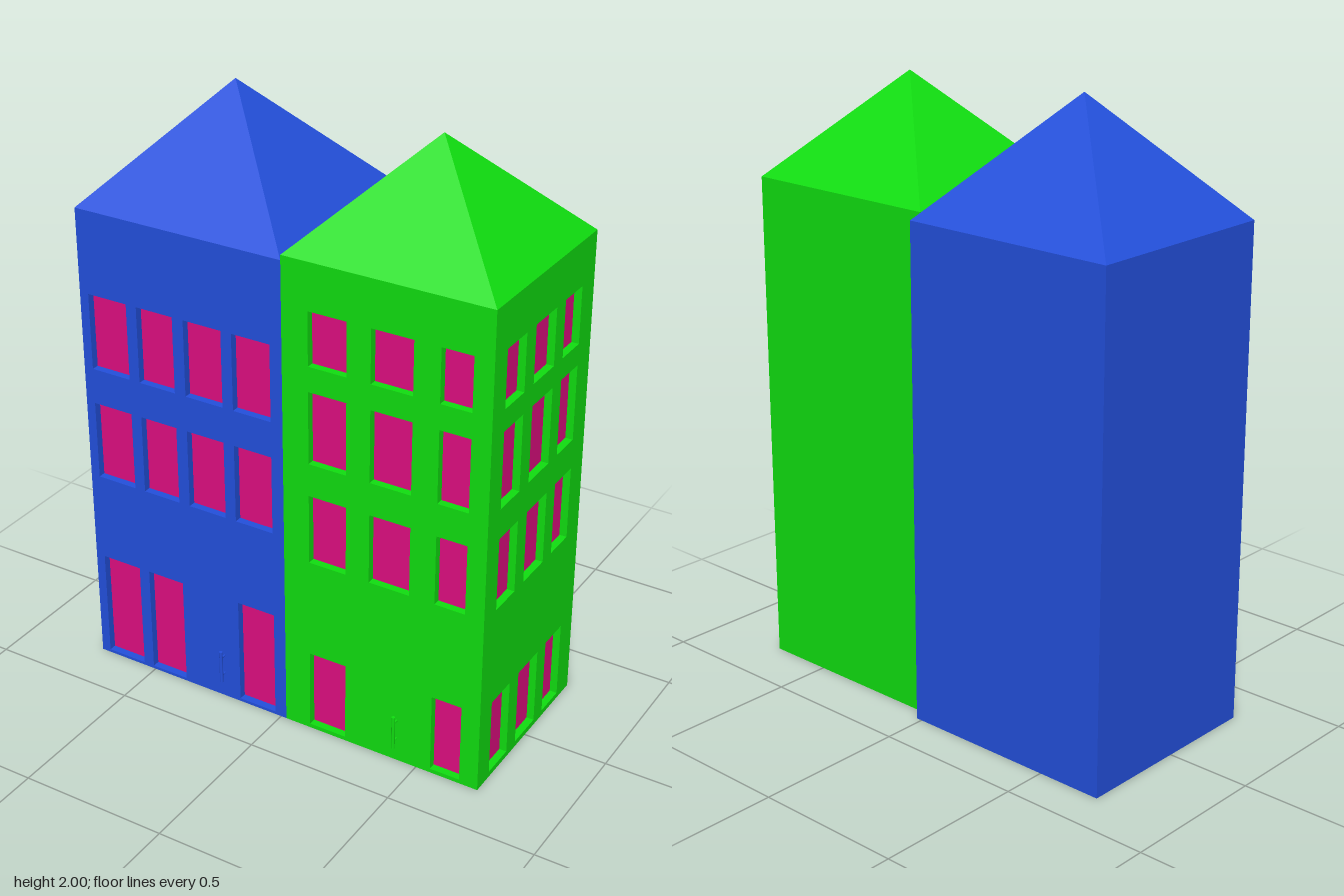
import * as THREE from 'three';
import { mergeGeometries } from 'three/addons/utils/BufferGeometryUtils.js';

const material = (name, color) => {
  const m = new THREE.MeshStandardMaterial({ color, side: THREE.DoubleSide });
  m.name = name;
  return m;
};

const RECESS = 0.025;

function addMesh(parent, name, geometry, mat) {
  const mesh = new THREE.Mesh(geometry, mat);
  mesh.name = name;
  parent.add(mesh);
  return mesh;
}

// Every combination of columns [u0, u1] with rows [y0, y1]
const grid = (columns, rows) => rows.flatMap(([y0, y1]) => columns.map(([u0, u1]) => [u0, u1, y0, y1]));

// Sheet wall facing local +z, with window openings, reveals and recessed panes
function makeWall(name, u0, u1, height, windows, wallMat, paneMat) {
  const wall = new THREE.Group();
  wall.name = name;
  const rect = (target, a, b, c, d) =>
    target.moveTo(a, c).lineTo(b, c).lineTo(b, d).lineTo(a, d).closePath();
  const shape = rect(new THREE.Shape(), u0, u1, 0, height);
  const reveals = [], panes = [];
  for (const [a, b, c, d] of windows) {
    shape.holes.push(rect(new THREE.Path(), a, b, c, d));
    const x = (a + b) / 2, y = (c + d) / 2;
    // Only the four sides of the box line the opening
    const box = new THREE.BoxGeometry(b - a, d - c, RECESS);
    box.setIndex(Array.from(box.index.array).slice(0, 24));
    box.clearGroups();
    reveals.push(box.translate(x, y, -RECESS / 2));
    panes.push(new THREE.PlaneGeometry(b - a, d - c).translate(x, y, -RECESS));
  }
  addMesh(wall, 'wallSheet', new THREE.ShapeGeometry(shape), wallMat);
  if (windows.length) {
    addMesh(wall, 'windowReveals', mergeGeometries(reveals), wallMat);
    addMesh(wall, 'windowPanes', mergeGeometries(panes), paneMat);
  }
  return wall;
}

// Four-sided pyramid roof over the walls
function makeRoof({ x0, x1, z0, z1, height, apex }, mat) {
  const corners = [[x0, height, z1], [x1, height, z1], [x1, height, z0], [x0, height, z0]];
  const points = corners.flatMap((c, i) => [...c, ...corners[(i + 1) % 4], ...apex]);
  const geometry = new THREE.BufferGeometry();
  geometry.setAttribute('position', new THREE.Float32BufferAttribute(points, 3));
  geometry.computeVertexNormals();
  const roof = new THREE.Mesh(geometry, mat);
  roof.name = 'roof';
  return roof;
}

// Vertical pull bar held by two short posts
function makeHandle(x, y, z, mat) {
  const handle = new THREE.Group();
  handle.name = 'doorHandle';
  addMesh(handle, 'bar', new THREE.CylinderGeometry(0.006, 0.006, 0.118, 10), mat).position.z = 0.02;
  for (const side of [-1, 1]) {
    const post = new THREE.CylinderGeometry(0.004, 0.004, 0.02, 8).rotateX(Math.PI / 2);
    addMesh(handle, 'post', post, mat).position.set(0, side * 0.034, 0.01);
  }
  handle.position.set(x, y, z);
  return handle;
}

function makeHouse(name, spec, mat, paneMat) {
  const { x0, x1, z0, z1, height, front, right, sides } = spec;
  const house = new THREE.Group();
  house.name = name;
  const walls = {
    frontWall: [x0, x1, front, 0, 'z', z1],
    backWall: [-x1, -x0, [], Math.PI, 'z', z0],
    rightWall: [-z1, -z0, right, Math.PI / 2, 'x', x1],
    leftWall: [z0, z1, [], -Math.PI / 2, 'x', x0],
  };
  for (const side of sides) {
    const [u0, u1, windows, turn, axis, offset] = walls[side];
    const wall = makeWall(side, u0, u1, height, windows, mat, paneMat);
    wall.rotation.y = turn;
    wall.position[axis] = offset;
    house.add(wall);
  }
  house.add(makeRoof(spec, mat), makeHandle(spec.handle[0], spec.handle[1], z1, mat));
  return house;
}

export function createModel() {
  const blue = material('bluePaint', 0x2350dc);
  const green = material('greenPaint', 0x10de10);
  const pane = material('magentaWindow', 0xde0e80);

  const blueColumns = [[-0.688, -0.545], [-0.507, -0.373], [-0.333, -0.196], [-0.158, -0.022]];
  const greenColumns = [[0.111, 0.242], [0.323, 0.463], [0.55, 0.653]];
  const sideColumns = [[-0.249, -0.13], [-0.071, 0.061], [0.119, 0.23]];

  const model = new THREE.Group();
  model.name = 'townHouses';

  // Open below; the side shared with the green house has no wall of its own
  model.add(makeHouse('blueHouse', {
    x0: -0.72, x1: 0.02, z0: -0.355, z1: 0.325, height: 1.623, apex: [-0.35, 2, -0.013],
    sides: ['frontWall', 'backWall', 'leftWall'],
    front: [
      ...grid(blueColumns, [[0.69, 0.96], [1.082, 1.342]]),
      ...grid(blueColumns.filter((_, i) => i !== 2), [[0.01, 0.385]]),
    ],
    right: [],
    handle: [-0.217, 0.126],
  }, blue, pane));

  model.add(makeHouse('greenHouse', {
    x0: 0.02, x1: 0.717, z0: -0.312, z1: 0.325, height: 1.64, apex: [0.37, 1.977, 0.006],
    sides: ['frontWall', 'backWall', 'leftWall', 'rightWall'],
    front: [
      ...grid(greenColumns, [[0.628, 0.866], [0.977, 1.221], [1.305, 1.484]]),
      ...grid([greenColumns[0], greenColumns[2]], [[0.014, 0.288]]),
    ],
    right: grid(sideColumns, [[0.019, 0.284], [0.622, 0.87], [0.972, 1.228], [1.3, 1.49]]),
    handle: [0.428, 0.118],
  }, green, pane));

  return model;
}
